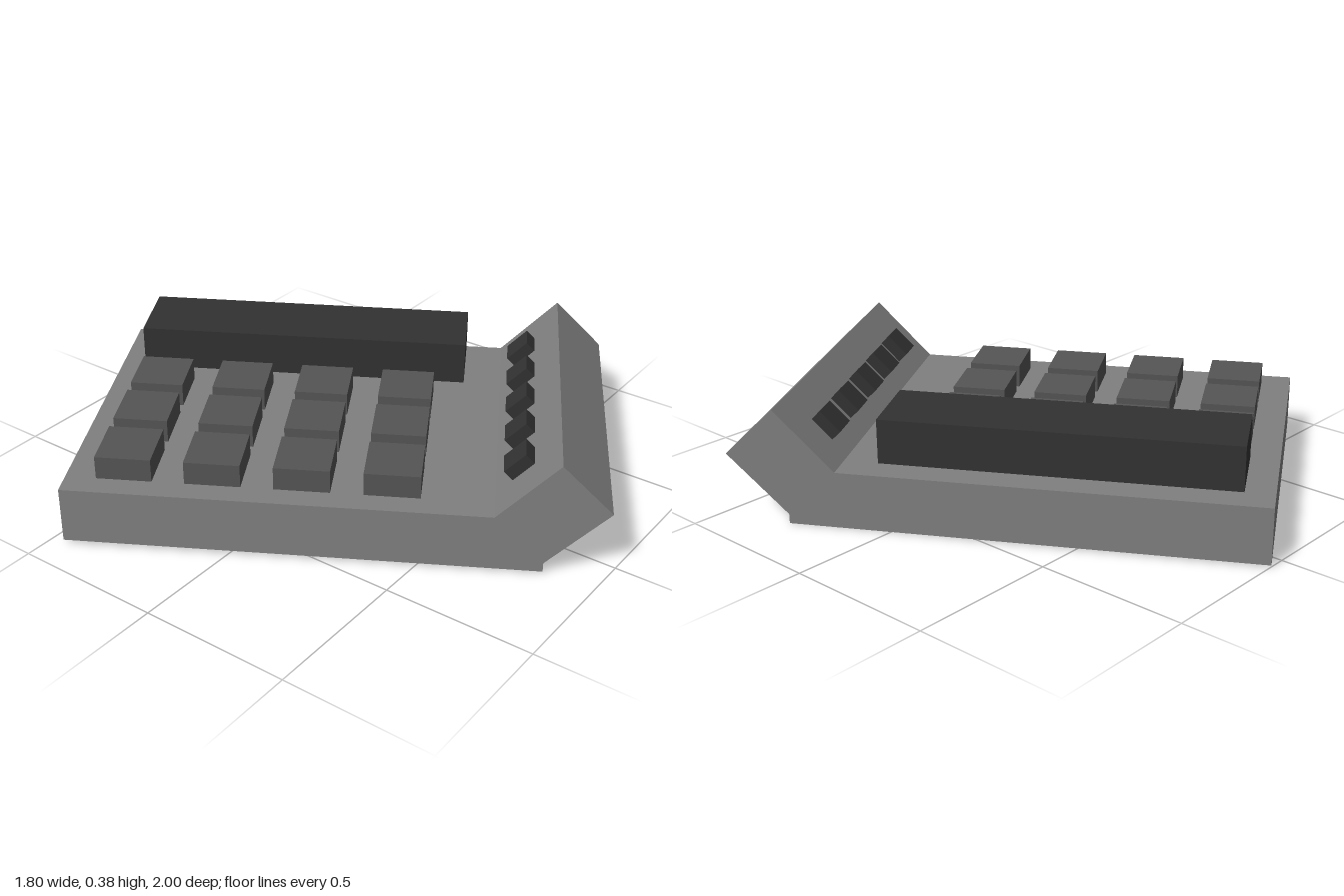
import * as THREE from 'three';

const grey = new THREE.MeshStandardMaterial({ color: 0x808080, name: 'case grey' });
const keyGrey = new THREE.MeshStandardMaterial({ color: 0x555555, name: 'key grey' });
const dark = new THREE.MeshStandardMaterial({ color: 0x323232, name: 'dark plastic' });

function addBox(parent, name, material, size, position) {
  const mesh = new THREE.Mesh(new THREE.BoxGeometry(...size), material);
  mesh.name = name;
  mesh.position.set(...position);
  parent.add(mesh);
  return mesh;
}

export function createModel() {
  const model = new THREE.Group();
  model.name = 'deskPhone';

  // Everything is built square, then turned and slightly tilted as one
  const phone = new THREE.Group();
  phone.name = 'phone';
  phone.rotation.set(0, Math.PI / 6, -0.009, 'ZYX');
  phone.position.y = 0.0072;
  model.add(phone);

  // Case: side profile (depth, height) extruded across the width
  const width = 1.106, deck = 0.184;
  const profile = new THREE.Shape([
    [-0.838, 0], [0.645, 0], [0.645, 0.031], [0.838, 0.22],
    [0.679, 0.376], [0.49, deck], [-0.838, deck],
  ].map(([z, y]) => new THREE.Vector2(z, y)));
  const caseGeometry = new THREE.ExtrudeGeometry(profile, { depth: width, bevelEnabled: false });
  caseGeometry.rotateY(-Math.PI / 2).translate(width / 2, 0, 0);
  const body = new THREE.Mesh(caseGeometry, grey);
  body.name = 'case';
  phone.add(body);

  // Keypad: three columns, four rows
  const keypad = new THREE.Group();
  keypad.name = 'keypad';
  phone.add(keypad);
  for (let row = 0; row < 4; row++) {
    for (let col = 0; col < 3; col++) {
      addBox(keypad, 'key', keyGrey, [0.19, 0.08, 0.175],
        [-0.379 + col * 0.241, 0.22, -0.653 + row * 0.277]);
    }
  }

  // Handset hovering just above the deck
  addBox(phone, 'handset', dark, [0.258, 0.144, 1.113], [0.37, 0.275, -0.19]);

  // Row of buttons standing out from the raised sloping panel
  const buttons = new THREE.Group();
  buttons.name = 'panelButtons';
  buttons.position.set(0, 0.266, 0.571);
  buttons.rotation.x = -Math.PI / 4;
  phone.add(buttons);
  for (let i = -2; i <= 2; i++) {
    addBox(buttons, 'panelButton', dark, [0.095, 0.08, 0.09], [i * 0.185, 0, 0]);
  }

  return model;
}
